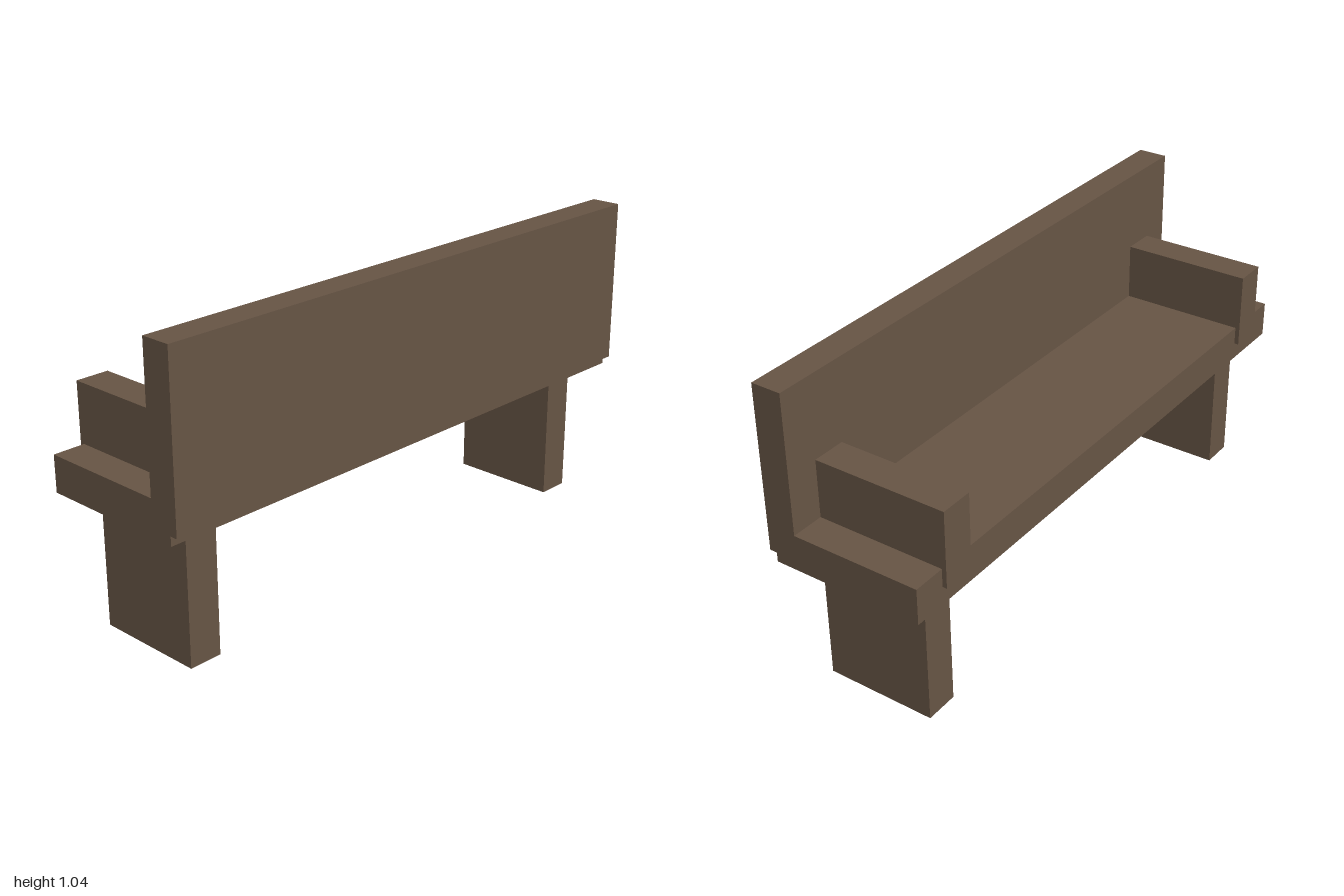
import * as THREE from 'three';

export function createModel() {
  const bench = new THREE.Group();
  bench.name = 'bench';
  const wood = new THREE.MeshStandardMaterial({ color: 0x665444 });
  wood.name = 'darkWood';

  // Box given by its extents along each axis
  function slab(name, [x0, x1], [y0, y1], [z0, z1]) {
    const mesh = new THREE.Mesh(new THREE.BoxGeometry(x1 - x0, y1 - y0, z1 - z0), wood);
    mesh.position.set((x0 + x1) / 2, (y0 + y1) / 2, (z0 + z1) / 2);
    mesh.name = name;
    bench.add(mesh);
  }

  // Seat plank and upright backrest
  slab('seat', [-1, 1], [0.453, 0.573], [-0.26, 0.25]);
  slab('backrest', [-1, 1], [0.484, 1.036], [0.174, 0.275]);

  // Legs and armrests share the same positions at each end
  for (const [side, span] of [['left', [0.777, 0.889]], ['right', [-0.892, -0.78]]]) {
    slab(side + 'Leg', span, [0, 0.46], [-0.192, 0.181]);
    slab(side + 'Armrest', span, [0.512, 0.767], [-0.275, 0.18]);
  }
  return bench;
}
